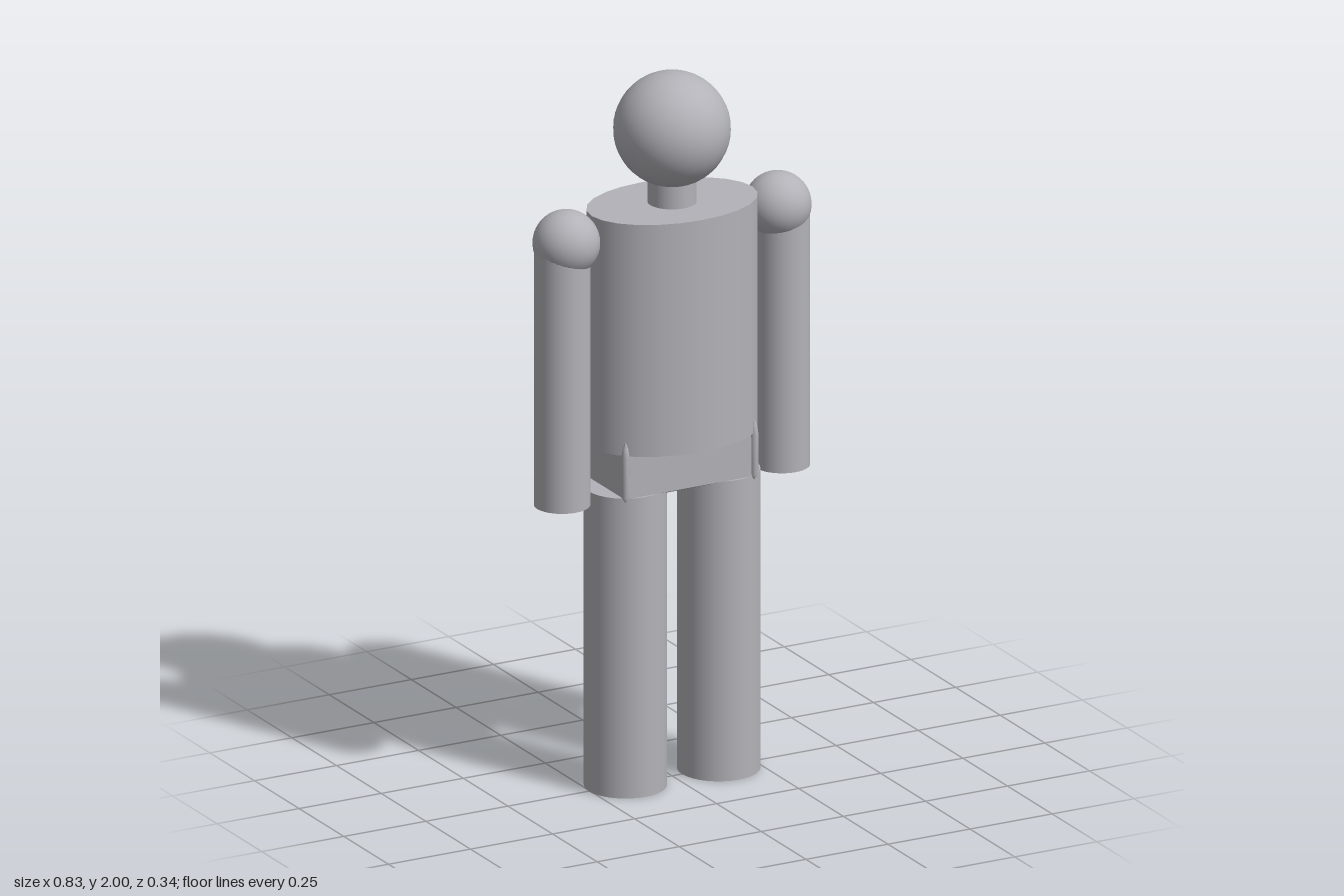
import * as THREE from 'three';

export function createModel() {
  const model = new THREE.Group();
  model.name = 'mannequin';
  const grey = new THREE.MeshStandardMaterial({ color: 0xb2b2b8 });
  grey.name = 'plain grey';

  const add = (name, geometry, x = 0, y = 0, z = 0) => {
    const mesh = new THREE.Mesh(geometry, grey);
    mesh.name = name;
    mesh.position.set(x, y, z);
    model.add(mesh);
    return mesh;
  };
  // Upright cylinder between two heights
  const column = (name, radius, bottom, top, x = 0) =>
    add(name, new THREE.CylinderGeometry(radius, radius, top - bottom, 32), x, (bottom + top) / 2);

  // Head, neck and oval torso
  add('head', new THREE.SphereGeometry(0.158, 32, 24), 0, 1.842);
  column('neck', 0.066, 1.6, 1.75);
  const torso = new THREE.CylinderGeometry(1, 1, 0.66, 24);
  torso.scale(0.245, 1, 0.17);
  add('torso', torso, 0, 1.305);

  // Box hips with chamfered underside: four-sided lathe made flat
  const profile = [[0, 0.83], [0.5, 0.83], [1, 0.853], [1, 0.985], [0.5, 1.005], [0, 1.005]]
    .map(([r, y]) => new THREE.Vector2(r * Math.SQRT2, y));
  const hips = new THREE.LatheGeometry(profile, 4).rotateY(Math.PI / 4).scale(0.2, 1, 0.104).toNonIndexed();
  hips.computeVertexNormals();
  add('hips', hips);

  // Pointed ridges on the hip corners
  const ridge = [[0, 0.84], [0.011, 0.858], [0.012, 0.97], [0.008, 0.995], [0, 1.015]]
    .map(([r, y]) => new THREE.Vector2(r, y));
  for (const sx of [-1, 1]) {
    for (const sz of [-1, 1]) add('hipRidge', new THREE.LatheGeometry(ridge, 10), sx * 0.196, 0, sz * 0.1);
  }

  // Mirrored limbs
  for (const [side, s] of [['left', 1], ['right', -1]]) {
    add(side + 'Shoulder', new THREE.SphereGeometry(0.091, 32, 20), s * 0.322, 1.572);
    column(side + 'Arm', 0.076, 0.83, 1.56, s * 0.335);
    column(side + 'Leg', 0.112, 0, 0.853, s * 0.142);
  }
  return model;
}
